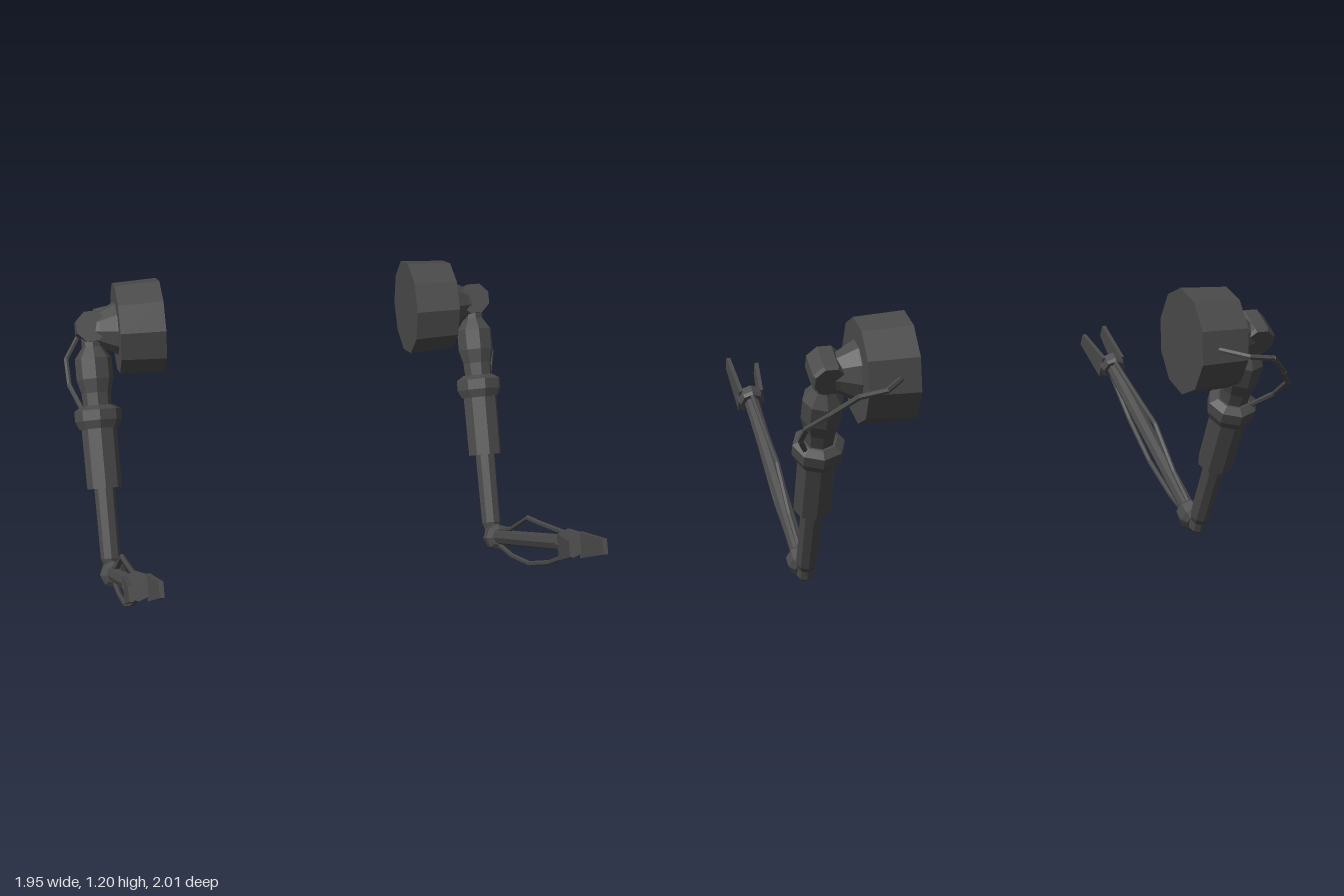
import * as THREE from 'three';
import { mergeGeometries } from 'three/addons/utils/BufferGeometryUtils.js';

const material = new THREE.MeshStandardMaterial({ color: 0x4a4a4a, flatShading: true });
const UP = new THREE.Vector3(0, 1, 0);
const ARM_X = 0.86;

function mesh(name, geometry) {
  const m = new THREE.Mesh(geometry, material);
  m.name = name;
  return m;
}

// Faceted solid of revolution: profile is [radius, distance along axis], ends closed
function turned(name, profile, origin, dir, sides = 8, spin = 0) {
  const first = profile[0], last = profile[profile.length - 1];
  const pts = [[0, first[1]], ...profile, [0, last[1]]].map(([r, t]) => new THREE.Vector2(r, t));
  const m = mesh(name, new THREE.LatheGeometry(pts, sides, spin));
  m.quaternion.setFromUnitVectors(UP, dir);
  m.position.copy(origin);
  return m;
}

// Angular cable made of straight runs
function cable(name, points, radius = 0.011) {
  const runs = [];
  for (let i = 0; i < points.length - 1; i++) {
    const a = points[i], step = points[i + 1].clone().sub(a);
    const g = new THREE.CylinderGeometry(radius, radius, step.length() + radius * 0.6, 6);
    g.applyQuaternion(new THREE.Quaternion().setFromUnitVectors(UP, step.clone().normalize()));
    const mid = a.clone().addScaledVector(step, 0.5);
    runs.push(g.translate(mid.x, mid.y, mid.z));
  }
  return mesh(name, mergeGeometries(runs));
}

// Flat tapering finger along local y; x0 and x1 are its offsets at base and tip
function finger(name, start, end, x0, x1, origin, dir) {
  const g = new THREE.BoxGeometry(0.018, 1, 1);
  const p = g.attributes.position;
  for (let i = 0; i < p.count; i++) {
    const k = p.getY(i) + 0.5;
    const half = THREE.MathUtils.lerp(0.053, 0.03, k);
    p.setXYZ(i, p.getX(i) + THREE.MathUtils.lerp(x0, x1, k),
      THREE.MathUtils.lerp(start, end, k), Math.sign(p.getZ(i)) * half + 0.01);
  }
  const m = mesh(name, g);
  m.quaternion.setFromUnitVectors(UP, dir);
  m.position.copy(origin);
  return m;
}

function createArm(s) {
  const arm = new THREE.Group();
  arm.name = s > 0 ? 'leftArm' : 'rightArm';
  const v = (x, y, z) => new THREE.Vector3(s * x, y, z);
  const outward = v(1, 0, 0);

  // Shoulder drum, its neck and the pivot
  const drumSpin = -s * THREE.MathUtils.degToRad(12);
  const hub = v(0, 1, -0.7);
  arm.add(turned('shoulderDrum', [[0.21, 0.555], [0.2, 0.75]], hub, outward, 10, drumSpin));
  arm.add(turned('shoulderNeck', [[0.12, 0.74], [0.115, 0.755], [0.075, 0.825], [0.06, 0.86]], hub, outward, 10, drumSpin));
  const upperDir = v(0, 0.907, -0.42).normalize();
  const pivotDir = v(0, 0.42, 0.907).normalize();
  arm.add(turned('shoulderPivot', [[0.062, -0.065], [0.07, -0.05], [0.07, 0.065]],
    v(ARM_X, 1.01, -0.705), pivotDir, 8, Math.PI / 8));

  // Upper arm from elbow to shoulder
  const elbow = v(ARM_X, 0.045, -0.25);
  const upper = (name, profile) => arm.add(turned(name, profile, elbow, upperDir));
  upper('upperRod', [[0.022, -0.03], [0.036, -0.01], [0.032, 0.03], [0.043, 0.06], [0.045, 0.4]]);
  upper('upperSleeve', [[0.075, 0.365], [0.077, 0.64]]);
  upper('upperCollar', [[0.085, 0.625], [0.102, 0.66], [0.102, 0.705], [0.07, 0.725]]);
  upper('shoulderSocket', [[0.06, 0.71], [0.064, 0.78], [0.08, 0.84], [0.08, 0.93], [0.045, 0.98], [0.045, 1.06]]);

  // Forearm from elbow to wrist
  const joint = v(ARM_X, 0.07, -0.18);
  const foreDir = v(0, 0.412, 0.911).normalize();
  const fore = (name, profile) => arm.add(turned(name, profile, joint, foreDir));
  fore('elbowCollar', [[0.035, -0.05], [0.058, -0.025], [0.058, 0.025], [0.038, 0.05]]);
  fore('forearmRod', [[0.033, 0.03], [0.033, 1.0]]);
  fore('wristCollar', [[0.05, 0.985], [0.058, 1.0], [0.058, 1.04]]);
  arm.add(turned('elbowPin', [[0.028, -0.04], [0.028, 0.04]],
    v(ARM_X, 0.055, -0.22), v(0, 0.2, 0.98).normalize()));

  // Gripper: long outer finger, short inner finger
  arm.add(finger('outerFinger', 1.02, 1.285, s * 0.044, s * 0.05, joint, foreDir));
  arm.add(finger('innerFinger', 1.02, 1.235, s * -0.044, s * -0.068, joint, foreDir));

  // Cables along the forearm and around the shoulder
  const along = list => list.map(([y, z]) => v(ARM_X, y, z));
  arm.add(cable('upperCable', along([[0.52, 0.73], [0.405, 0.385], [0.355, 0.225], [0.2, 0.01], [0.095, -0.19]])));
  arm.add(cable('lowerCable', along([[0.445, 0.76], [0.29, 0.52], [0.165, 0.28], [0.085, 0.04], [0.045, -0.16]])));
  arm.add(cable('shoulderCable', [
    v(0.62, 1.01, -0.88), v(0.71, 1.0, -0.99), v(0.81, 0.985, -0.985), v(0.9, 0.9, -0.9),
    v(0.965, 0.83, -0.81), v(0.965, 0.75, -0.7), v(0.92, 0.67, -0.58)]));
  return arm;
}

export function createModel() {
  const model = new THREE.Group();
  model.name = 'roboticArms';
  for (const s of [1, -1]) model.add(createArm(s));
  return model;
}
